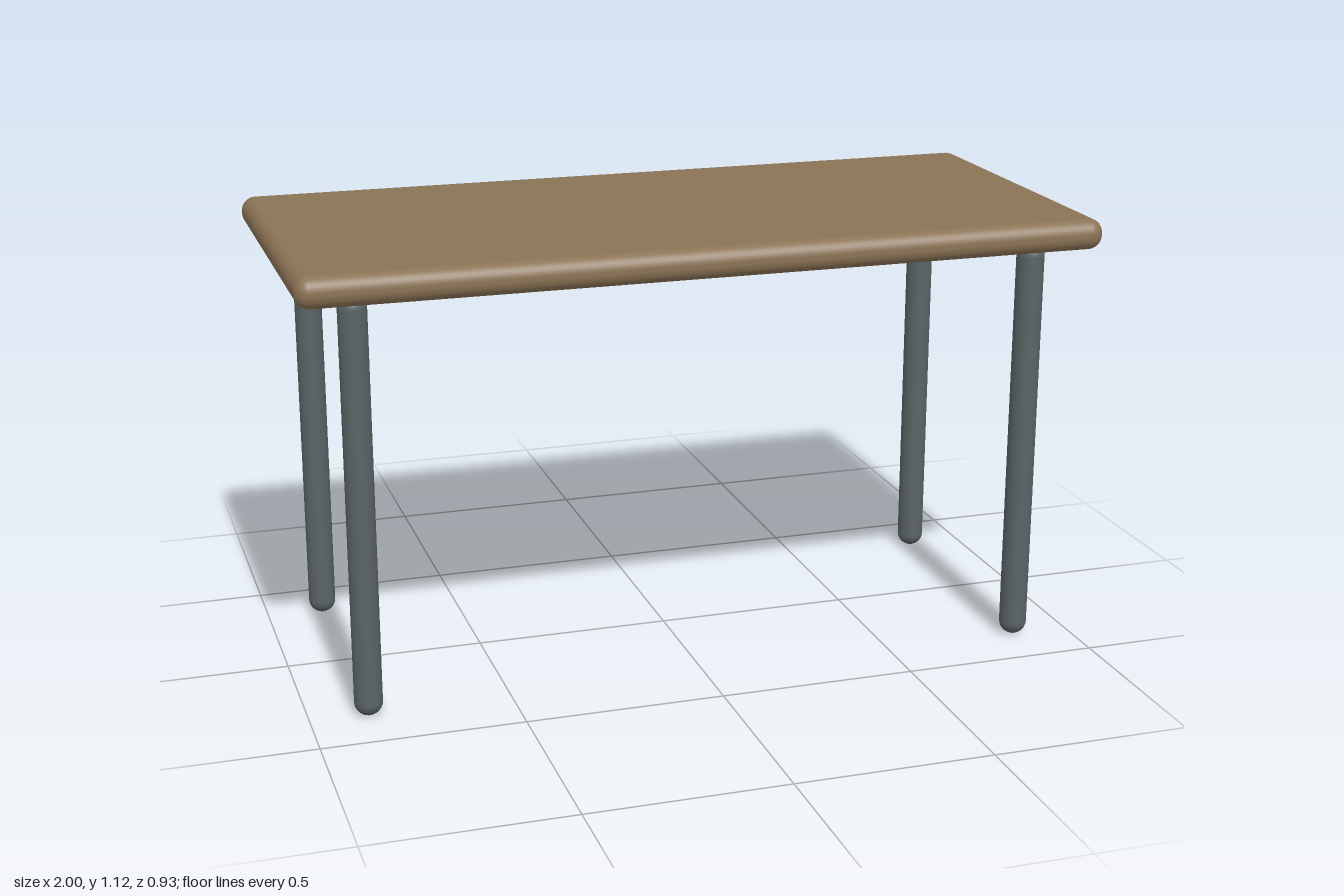
import * as THREE from 'three';
import { RoundedBoxGeometry } from 'three/addons/geometries/RoundedBoxGeometry.js';

export function createModel() {
  const wood = new THREE.MeshStandardMaterial({ name: 'brown wood', color: 0x8b7355 });
  const metal = new THREE.MeshStandardMaterial({ name: 'grey metal', color: 0x596366 });
  const table = new THREE.Group();
  table.name = 'table';

  // Slab with rounded edges
  const top = new THREE.Mesh(new RoundedBoxGeometry(2, 0.077, 0.93, 6, 0.036), wood);
  top.name = 'tableTop';
  top.position.y = 1.0865;
  table.add(top);

  // Four round-ended legs, their upper domes sunk slightly into the slab
  const radius = 0.035, height = 1.055;
  const legGeometry = new THREE.CapsuleGeometry(radius, height - 2 * radius, 8, 24);
  for (const [side, x] of [['Left', 0.855], ['Right', -0.855]]) {
    for (const [end, z] of [['front', 0.343], ['back', -0.343]]) {
      const leg = new THREE.Mesh(legGeometry, metal);
      leg.name = `${end}${side}Leg`;
      leg.position.set(x, height / 2, z);
      table.add(leg);
    }
  }
  return table;
}
